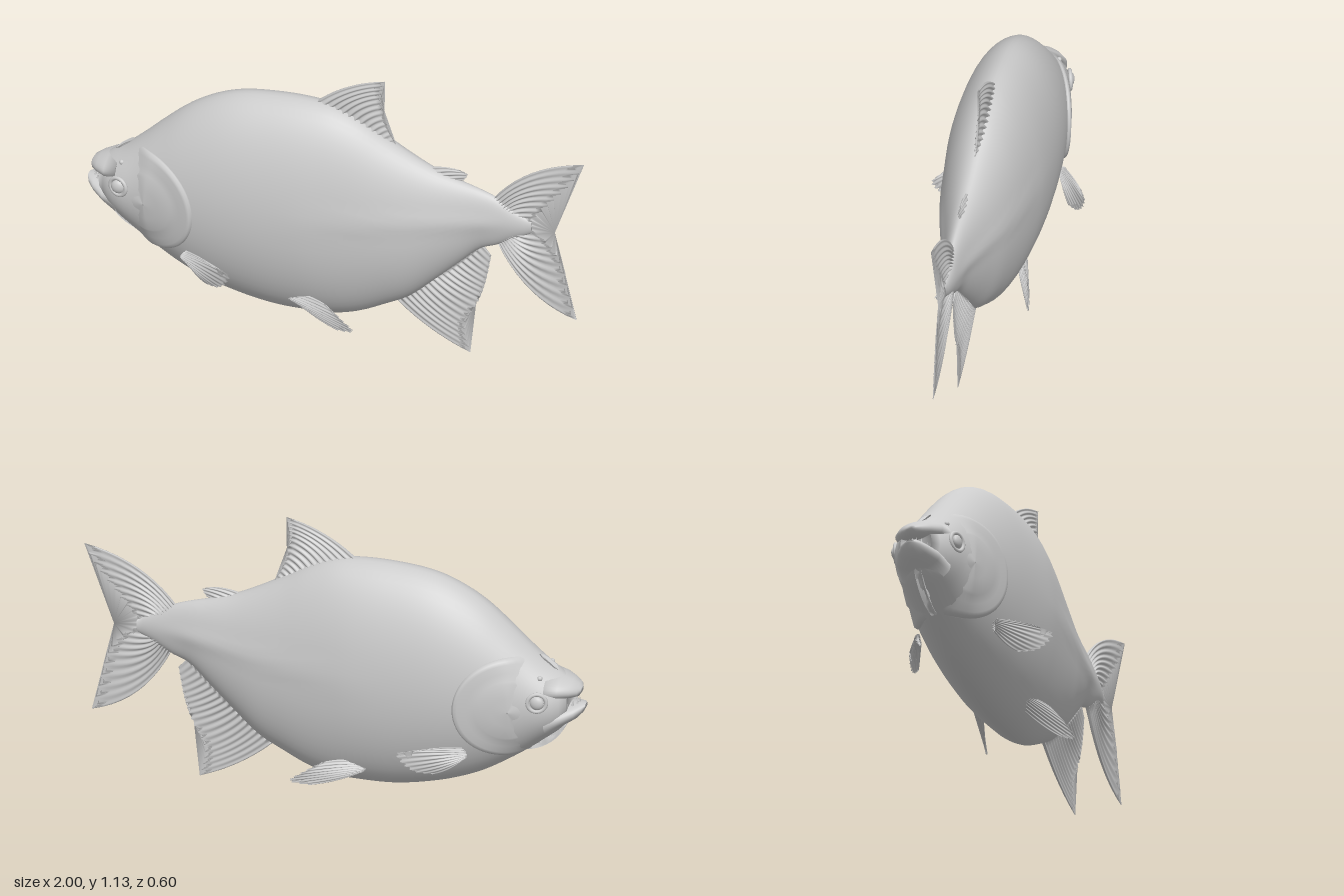
import * as THREE from 'three';

const material = new THREE.MeshStandardMaterial({ color: 0xcccccc, side: THREE.DoubleSide });
const V = (x, y, z = 0) => new THREE.Vector3(x, y, z);

// Body profile stations: x, then top y, bottom y, half width
const stationX = [-0.94, -0.9, -0.85, -0.78, -0.7, -0.6, -0.5, -0.4, -0.25, -0.1, 0, 0.1, 0.2, 0.3, 0.4, 0.5, 0.58, 0.65, 0.72, 0.79];
const stationValues = [
  0.605, 0.44, 0.065, 0.632, 0.395, 0.105, 0.665, 0.355, 0.128, 0.725, 0.3, 0.142, 0.8, 0.245, 0.158,
  0.885, 0.185, 0.178, 0.945, 0.142, 0.192, 0.982, 0.112, 0.2, 1.003, 0.084, 0.202, 1.005, 0.08, 0.194,
  0.992, 0.085, 0.18, 0.952, 0.112, 0.163, 0.892, 0.16, 0.144, 0.837, 0.215, 0.122, 0.79, 0.305, 0.095,
  0.757, 0.4, 0.068, 0.735, 0.475, 0.048, 0.71, 0.505, 0.035, 0.67, 0.545, 0.025, 0.63, 0.58, 0.01];
const profile = new THREE.CubicInterpolant(stationX, stationValues, 3, new Float32Array(3));

function section(x) {
  const [top, bottom, width] = profile.evaluate(x);
  return { c: (top + bottom) / 2, h: (top - bottom) / 2, w: width };
}

// Half width of the body surface at a side-on position
function bodyZ(x, y) {
  const { c, h, w } = section(x);
  return w * Math.pow(Math.max(0, 1 - ((y - c) / h) ** 2), 0.55);
}

// Skin over a list of closed rings, capped at both ends
function loft(rings) {
  const n = rings[0].length, last = rings.length - 1, index = [];
  const points = rings.flat();
  for (let i = 0; i < last; i++) {
    for (let j = 0; j < n; j++) {
      const a = i * n + j, b = i * n + (j + 1) % n;
      index.push(a, a + n, b + n, a, b + n, b);
    }
  }
  for (const i of [0, last]) {
    const centre = V(0, 0);
    rings[i].forEach(p => centre.addScaledVector(p, 1 / n));
    const k = points.push(centre) - 1;
    for (let j = 0; j < n; j++) {
      const a = i * n + j, b = i * n + (j + 1) % n;
      index.push(k, ...(i ? [a, b] : [b, a]));
    }
  }
  const geo = new THREE.BufferGeometry().setFromPoints(points);
  geo.setIndex(index);
  geo.computeVertexNormals();
  return geo;
}

function oval(x, c, h, w, n = 40, power = 1.1) {
  return Array.from({ length: n }, (_, j) => {
    const a = j / n * Math.PI * 2, k = Math.cos(a);
    return V(x, c + h * Math.sin(a), w * Math.sign(k) * Math.abs(k) ** power);
  });
}

// Ribbed fin between a root curve and an edge curve; bends bow the first and last rays
function fin({ root, edge, rays, thick, bend = [V(0, 0), V(0, 0)], notch = 0.06 }) {
  const rootCurve = new THREE.CatmullRomCurve3(root), edgeCurve = new THREE.CatmullRomCurve3(edge);
  const normal = edgeCurve.getPoint(0.5).sub(rootCurve.getPoint(0.5))
    .cross(rootCurve.getPoint(1).sub(rootCurve.getPoint(0))).normalize();
  const nu = rays * 6, nv = 10, rings = [];
  const roots = rootCurve.getPoints(nu), edges = edgeCurve.getPoints(nu);
  for (let i = 0; i <= nv; i++) {
    const front = [], back = [];
    for (let j = 0; j <= nu; j++) {
      const u = j / nu, ridge = Math.cos(Math.PI * u * rays) ** 2;
      const v = i / nv * (1 - notch * (1 - ridge));
      const p = roots[j].clone().lerp(edges[j], v)
        .addScaledVector(bend[0].clone().lerp(bend[1], u), 4 * v * (1 - v));
      const t = thick * (1 - 0.8 * v) * (0.35 + 0.65 * ridge) * (0.3 + 0.7 * Math.sin(Math.PI * u) ** 0.5);
      front.push(p.clone().addScaledVector(normal, t));
      back.unshift(p.addScaledVector(normal, -t));
    }
    rings.push([...front, ...back]);
  }
  return loft(rings);
}

// Gill cover: a raised disk following the flank, fading out towards the snout
function gillCover(side) {
  const steps = [[0.02, 0.004], [0.3, 0.006], [0.55, 0.01], [0.6, 0.005], [0.75, 0.009], [0.9, 0.013], [0.96, 0.014], [1, 0.006], [1.01, -0.012]];
  const n = 64;
  return loft(steps.map(([r, lift]) => Array.from({ length: n }, (_, j) => {
    const a = side * j / n * Math.PI * 2;
    const x = -0.73 + 0.21 * r * Math.cos(a), y = 0.5 + 0.21 * r * Math.sin(a);
    const mask = THREE.MathUtils.smoothstep(Math.cos(a), -0.55, 0.1);
    const z = bodyZ(x, y) + THREE.MathUtils.lerp(0.004 - 0.018 * r, lift, mask);
    return V(x, y, side * z);
  })));
}

export function createModel() {
  const group = new THREE.Group();
  const add = (name, geo, position) => {
    const mesh = new THREE.Mesh(geo, material);
    mesh.name = name;
    if (position) mesh.position.copy(position);
    group.add(mesh);
    return mesh;
  };

  // Body with a soft crest along the rear flank
  const bodyRings = [];
  for (let i = 0; i <= 70; i++) {
    const x = -0.94 + 1.73 * i / 70, { c, h, w } = section(x);
    const ring = oval(x, c, h, w, 56);
    const crest = 0.007 * THREE.MathUtils.smoothstep(x, -0.3, 0.2) * (1 - THREE.MathUtils.smoothstep(x, 0.55, 0.75));
    const crestY = 0.57 + 0.06 * x;
    ring.forEach(p => { p.z += Math.sign(p.z) * crest * Math.exp(-(((p.y - crestY) / 0.035) ** 2)); });
    bodyRings.push(ring);
  }
  add('body', loft(bodyRings));

  // Mouth: snout above, protruding jaw below
  add('snout', loft([[-0.984, 0.568, 0.01, 0.02], [-0.975, 0.568, 0.025, 0.045], [-0.95, 0.572, 0.036, 0.071],
    [-0.91, 0.577, 0.046, 0.1], [-0.86, 0.58, 0.06, 0.11]].map(s => oval(...s))));
  add('lowerJaw', loft([[-1, 0.503, 0.008, 0.018], [-0.99, 0.495, 0.02, 0.04], [-0.965, 0.481, 0.033, 0.064],
    [-0.92, 0.463, 0.044, 0.092], [-0.86, 0.44, 0.06, 0.11]].map(s => oval(...s))));
  for (let i = -3; i <= 3; i++) {
    const x = -0.975 + 0.005 * i * i;
    add('lowerTooth', new THREE.ConeGeometry(0.007, 0.03, 6), V(x, 0.517, i * 0.015));
  }

  // Median fins
  add('dorsalFin', fin({
    root: [V(-0.09, 0.99), V(0.03, 0.965), V(0.13, 0.91), V(0.22, 0.855)],
    edge: [V(0.195, 1.137), V(0.18, 1.06), V(0.2, 0.96), V(0.24, 0.87)],
    rays: 13, thick: 0.024, bend: [V(-0.01, 0.02), V(0, 0)]
  }));
  add('adiposeFin', fin({
    root: [V(0.37, 0.79), V(0.42, 0.77), V(0.48, 0.75)],
    edge: [V(0.5, 0.803), V(0.53, 0.79), V(0.515, 0.762)],
    rays: 4, thick: 0.014, bend: [V(0, 0.008), V(0, 0)]
  }));
  add('tailFin', fin({
    root: [V(0.63, 0.7), V(0.68, 0.66), V(0.7, 0.61), V(0.69, 0.56), V(0.65, 0.52)],
    edge: [V(1, 0.922), V(0.95, 0.83), V(0.88, 0.745), V(0.82, 0.67), V(0.785, 0.615),
      V(0.86, 0.55), V(0.91, 0.47), V(0.94, 0.35), V(0.97, 0.23)],
    rays: 20, thick: 0.022, bend: [V(-0.025, 0.035), V(-0.025, -0.045)]
  }));
  add('analFin', fin({
    root: [V(0.24, 0.19), V(0.36, 0.28), V(0.47, 0.38), V(0.59, 0.49)],
    edge: [V(0.54, 0.005), V(0.52, 0.12), V(0.575, 0.24), V(0.605, 0.34), V(0.625, 0.45)],
    rays: 18, thick: 0.018, bend: [V(-0.01, -0.015), V(0, 0)]
  }));

  // Paired parts
  for (const s of [1, -1]) {
    const label = s > 0 ? 'left' : 'right';
    add(label + 'GillCover', gillCover(s));
    add(label + 'PectoralFin', fin({
      root: [V(-0.555, 0.335, s * 0.165), V(-0.57, 0.31, s * 0.16), V(-0.555, 0.285, s * 0.155)],
      edge: [V(-0.39, 0.347, s * 0.275), V(-0.33, 0.342, s * 0.3), V(-0.35, 0.295, s * 0.285),
        V(-0.39, 0.255, s * 0.255), V(-0.45, 0.232, s * 0.21)],
      rays: 9, thick: 0.012, bend: [V(0, 0.008, 0), V(0, -0.012, 0)]
    }));
    add(label + 'PelvicFin', fin({
      root: [V(-0.13, 0.2, s * 0.11), V(-0.16, 0.18, s * 0.1), V(-0.14, 0.15, s * 0.08)],
      edge: [V(0.01, 0.195, s * 0.15), V(0.08, 0.155, s * 0.175), V(0.13, 0.118, s * 0.183), V(0.06, 0.098, s * 0.16)],
      rays: 8, thick: 0.014, bend: [V(0, 0.008, 0), V(0, -0.01, 0)]
    }));

    // Eye with a raised rim, and nostrils
    const eyeZ = bodyZ(-0.84, 0.545);
    const eye = add(label + 'Eye', new THREE.SphereGeometry(0.028, 24, 16), V(-0.84, 0.545, s * eyeZ));
    eye.scale.z = 0.6;
    const rim = add(label + 'EyeRim', new THREE.TorusGeometry(0.036, 0.008, 10, 32), V(-0.84, 0.545, s * eyeZ));
    rim.rotation.y = -s * 0.3;
    for (const [x, y] of [[-0.915, 0.585], [-0.84, 0.63]]) {
      add(label + 'Nostril', new THREE.SphereGeometry(0.01, 12, 8), V(x, y, s * bodyZ(x, y)));
    }
  }
  return group;
}
